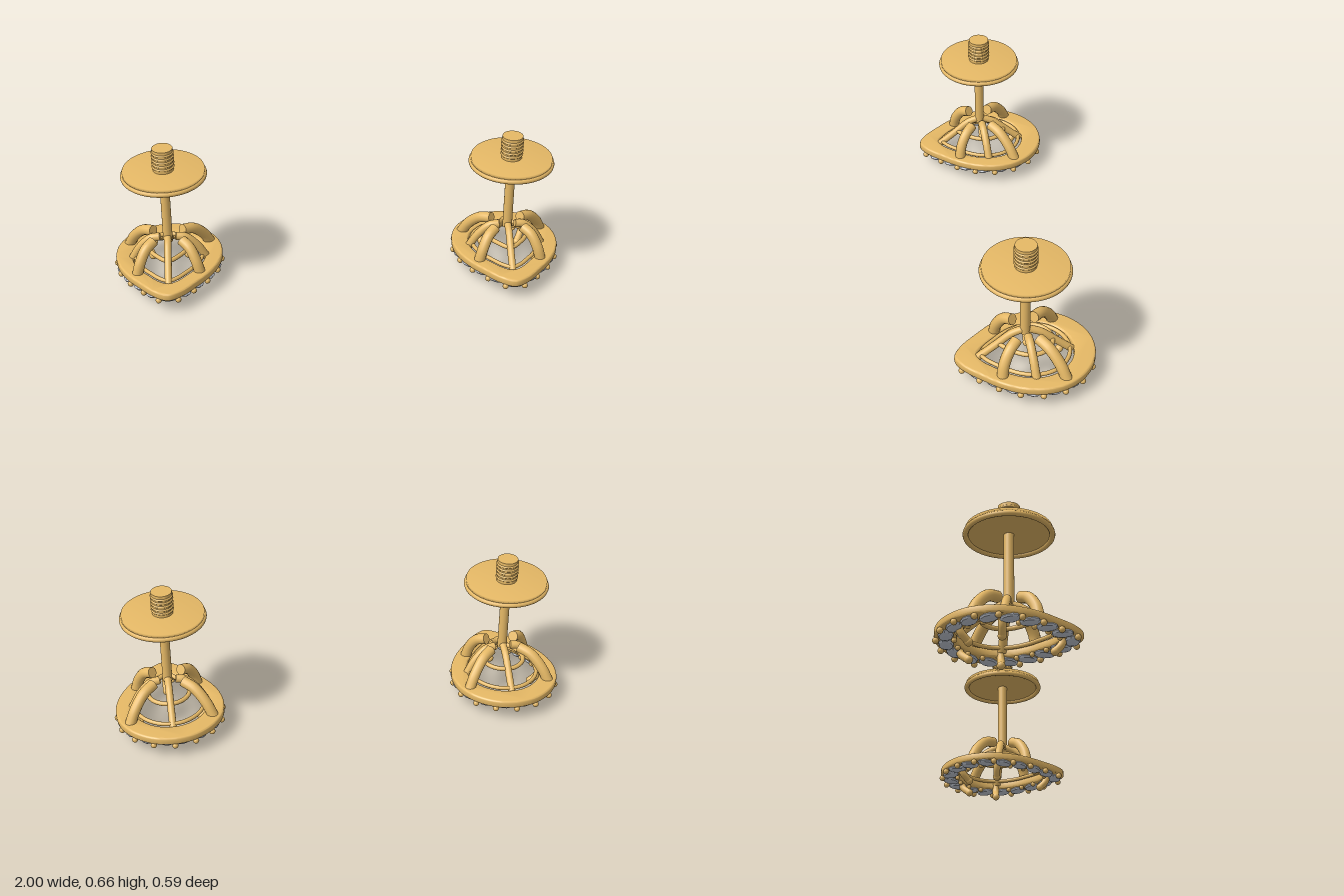
import * as THREE from 'three';
import { toCreasedNormals } from 'three/addons/utils/BufferGeometryUtils.js';

const gold = new THREE.MeshStandardMaterial({ color: 0xe6b966 });
gold.name = 'gold';
const stone = new THREE.MeshStandardMaterial({ color: 0xc2c8d3 });
stone.name = 'paleStone';

const V = (x, y, z) => new THREE.Vector3(x, y, z);

// Pear outline seen from above: round at the back, pointed at the front
const half = [[0, -0.288], [0.09, -0.27], [0.17, -0.215], [0.22, -0.14], [0.237, -0.05],
  [0.222, 0.04], [0.18, 0.125], [0.125, 0.195], [0.058, 0.267], [0, 0.297]];
const outline = [...half, ...half.slice(1, -1).reverse().map(([x, z]) => [-x, z])];

function pearCurve(scale, y) {
  return new THREE.CatmullRomCurve3(outline.map(([x, z]) => V(x * scale, y, z * scale)), true);
}

function add(group, name, geometry, material = gold) {
  const mesh = new THREE.Mesh(geometry, material);
  mesh.name = name;
  group.add(mesh);
  return mesh;
}

// Round bar along a path, closed with a flat or ball end
function bar(group, name, points, radius, ball = 0) {
  const curve = new THREE.CatmullRomCurve3(points.map((p) => V(...p)));
  add(group, name, new THREE.TubeGeometry(curve, 16, radius, 14));
  const end = curve.getPoint(1);
  const cap = add(group, name + 'End', ball
    ? new THREE.SphereGeometry(ball, 16, 12) : new THREE.CircleGeometry(radius, 14));
  cap.position.copy(end);
  cap.quaternion.setFromUnitVectors(V(0, 0, 1), curve.getTangent(1));
}

function lathe(points, segments = 48) {
  return new THREE.LatheGeometry(points.map(([r, y]) => new THREE.Vector2(r, y)), segments);
}

function buildHalo(group) {
  // Flat pear-shaped band with a pear opening
  const flat = (s) => pearCurve(s, 0).getSpacedPoints(80).slice(0, -1)
    .map((p) => new THREE.Vector2(p.x, p.z));
  const shape = new THREE.Shape(flat(1));
  shape.holes.push(new THREE.Path(flat(0.69)));
  const band = new THREE.ExtrudeGeometry(shape, {
    depth: 0.019, bevelEnabled: true, bevelThickness: 0.008, bevelSize: 0.008,
    bevelOffset: -0.008, bevelSegments: 3,
  });
  band.rotateX(Math.PI / 2).translate(0, 0.097, 0);
  add(group, 'haloBand', toCreasedNormals(band, 0.7));

  // Gallery wires inside the basket
  add(group, 'lowerGalleryWire', new THREE.TubeGeometry(pearCurve(0.63, 0.104), 80, 0.009, 10, true));
  add(group, 'upperGalleryWire', new THREE.TubeGeometry(pearCurve(0.38, 0.159), 64, 0.01, 10, true));

  // Stones under the band, with gripping beads between them
  const count = 17;
  const rows = [
    { path: pearCurve(0.975, 0.062), radius: 0.0135 },
    { path: pearCurve(0.725, 0.064), radius: 0.011 },
  ];
  const middle = pearCurve(0.85, 0.066);
  for (let i = 0; i < count; i++) {
    for (const { path, radius } of rows) {
      const bead = add(group, 'bead', new THREE.SphereGeometry(radius, 12, 8));
      bead.position.copy(path.getPointAt(i / count));
    }
    const t = (i + 0.5) / count;
    const gem = add(group, 'haloStone', toCreasedNormals(new THREE.SphereGeometry(1, 10, 6), 0.3), stone);
    gem.scale.set(0.031, 0.014, 0.044);
    gem.position.copy(middle.getPointAt(t));
    gem.lookAt(gem.position.clone().add(middle.getTangentAt(t)));
  }
}

function buildBasket(group) {
  for (const s of [-1, 1]) {
    // Heavy arched arms, cut off short of the post
    bar(group, 'frontArm', [[s * 0.138, 0.09, 0.116], [s * 0.122, 0.15, 0.107],
      [s * 0.095, 0.203, 0.08], [s * 0.062, 0.223, 0.048]], 0.024);
    bar(group, 'backArm', [[s * 0.182, 0.09, -0.142], [s * 0.155, 0.15, -0.118],
      [s * 0.11, 0.205, -0.078], [s * 0.064, 0.223, -0.04]], 0.024);
    // Slim side arms
    bar(group, 'sideArm', [[s * 0.165, 0.09, -0.02], [s * 0.125, 0.16, -0.012],
      [s * 0.075, 0.208, -0.005], [s * 0.035, 0.214, -0.002]], 0.018);
    // Claws reaching below the band
    bar(group, 'sideClaw', [[s * 0.175, 0.09, -0.024], [s * 0.165, 0.05, -0.024],
      [s * 0.135, 0.019, -0.024]], 0.016, 0.0175);
    bar(group, 'backClaw', [[s * 0.105, 0.09, -0.195], [s * 0.1, 0.05, -0.182],
      [s * 0.08, 0.019, -0.152]], 0.016, 0.0175);
  }
  bar(group, 'frontSlimArm', [[0, 0.09, 0.2], [0, 0.155, 0.12], [0, 0.205, 0.06], [0, 0.222, 0.015]], 0.016);
  bar(group, 'backSlimArm', [[0, 0.09, -0.19], [0, 0.15, -0.12], [0, 0.2, -0.06], [0, 0.222, -0.01]], 0.016);
  bar(group, 'frontClaw', [[0, 0.09, 0.218], [0, 0.05, 0.21], [0, 0.019, 0.183]], 0.016, 0.0175);
}

function buildBack(group) {
  const back = new THREE.Group();
  back.name = 'postAndBack';
  back.position.z = 0.005;
  group.add(back);

  add(back, 'post', new THREE.CylinderGeometry(0.021, 0.021, 0.35, 24)).position.y = 0.382;
  // Backing disc with a rounded rim
  add(back, 'backDisc', lathe([[0, 0.535], [0.178, 0.535], [0.178, 0.559], [0, 0.559]]));
  const rim = add(back, 'discRim', new THREE.TorusGeometry(0.175, 0.0115, 12, 56));
  rim.rotation.x = Math.PI / 2;
  rim.position.y = 0.535;
  // Ridged screw nut
  add(back, 'nut', toCreasedNormals(new THREE.CylinderGeometry(0.045, 0.045, 0.109, 32), 0.7)).position.y = 0.6095;
  for (let i = 0; i < 5; i++) {
    const ridge = add(back, 'nutRidge', new THREE.TorusGeometry(0.044, 0.0055, 8, 32));
    ridge.rotation.x = Math.PI / 2;
    ridge.position.y = 0.577 + i * 0.017;
  }
}

export function createModel() {
  const model = new THREE.Group();
  model.name = 'earringPair';
  for (const side of [-1, 1]) {
    const earring = new THREE.Group();
    earring.name = side > 0 ? 'leftEarring' : 'rightEarring';
    earring.position.x = side * 0.755;
    buildHalo(earring);
    buildBasket(earring);
    buildBack(earring);
    model.add(earring);
  }
  return model;
}
